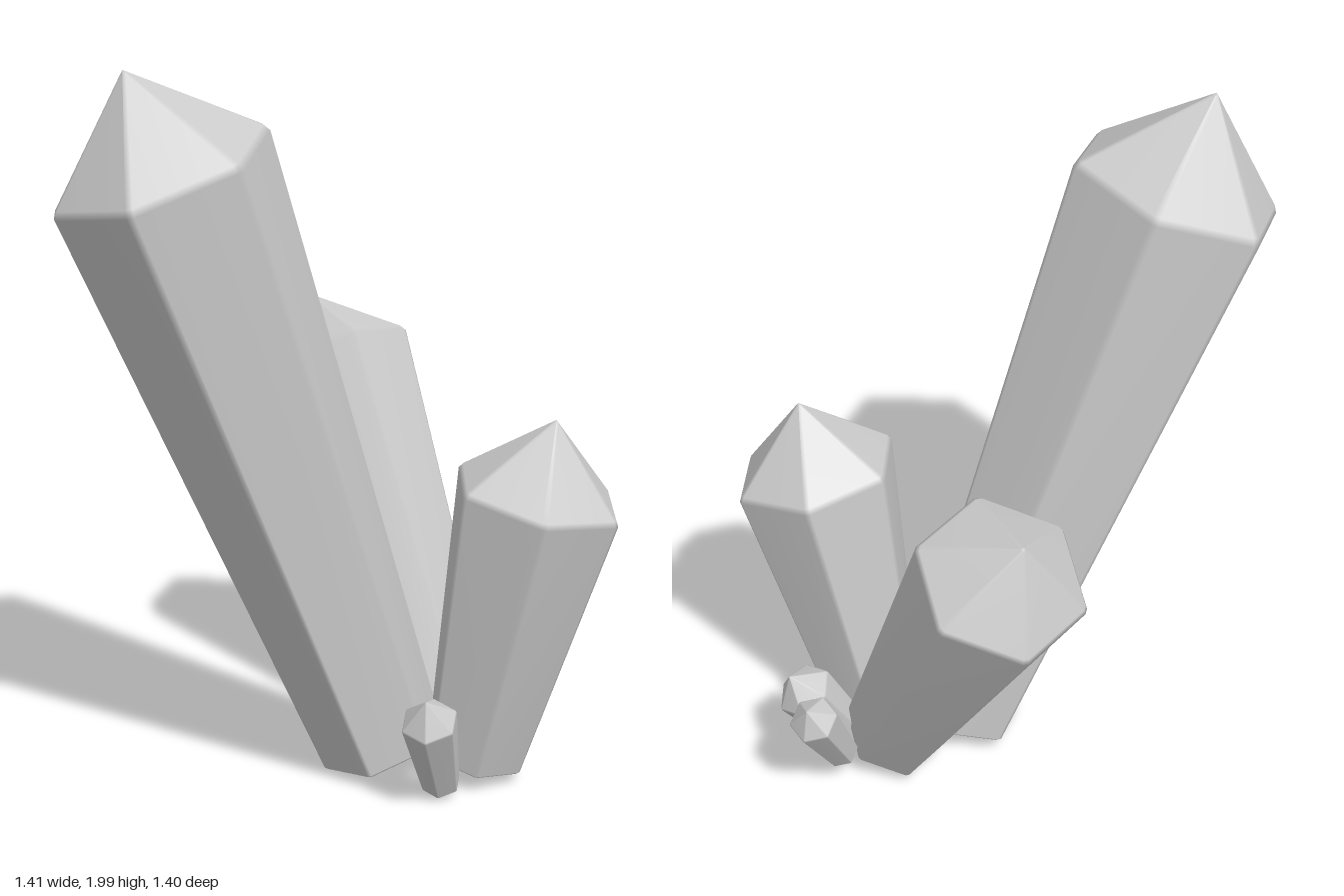
import * as THREE from 'three';

// Six-sided crystal with softened edges.
// base, shoulder: centres of the end rings; tipH: point height along the axis;
// rBase, rTop: corner radii; corner: x,z direction of one corner seen from above.
function crystal(name, material, { base, shoulder, tipH, rBase, rTop, corner }) {
  const start = new THREE.Vector3(...base);
  const axis = new THREE.Vector3(...shoulder).sub(start);
  const len = axis.length();
  axis.normalize();
  const [cx, cz] = corner;
  const u = new THREE.Vector3(cx, -(axis.x * cx + axis.z * cz) / axis.y, cz).normalize();
  const v = new THREE.Vector3().crossVectors(u, axis);

  // Hexagon with each corner cut into a narrow bevel
  const bevel = 0.04;
  const hex = i => new THREE.Vector2(Math.cos(i * Math.PI / 3), Math.sin(i * Math.PI / 3));
  const section = [];
  for (let i = 0; i < 6; i++) {
    section.push(hex(i).lerp(hex(i - 1), bevel), hex(i).lerp(hex(i + 1), bevel));
  }
  const n = section.length;

  // Rings as [distance along the axis, radius]
  const rings = [
    [0, rBase * 0.96],
    [rBase * 0.04, rBase],
    [len - rTop * 0.03, rTop],
    [len + tipH * 0.04, rTop * 0.96],
    [len + tipH * 0.97, rTop * 0.03],
  ];
  const positions = [], index = [];
  const point = (t, x, y) => {
    const p = start.clone().addScaledVector(axis, t).addScaledVector(u, x).addScaledVector(v, y);
    positions.push(p.x, p.y, p.z);
  };
  for (const [t, r] of rings) for (const s of section) point(t, s.x * r, s.y * r);
  const bottom = rings.length * n, top = bottom + 1;
  point(0, 0, 0);
  point(len + tipH, 0, 0);

  for (let j = 0; j < n; j++) {
    const k = (j + 1) % n;
    for (let i = 0; i < rings.length - 1; i++) {
      const a = i * n + j, b = i * n + k;
      index.push(a, a + n, b, b, a + n, b + n);
    }
    const last = (rings.length - 1) * n;
    index.push(bottom, j, k, top, last + k, last + j);
  }
  const geometry = new THREE.BufferGeometry();
  geometry.setAttribute('position', new THREE.Float32BufferAttribute(positions, 3));
  geometry.setIndex(index);
  geometry.computeVertexNormals();
  const mesh = new THREE.Mesh(geometry, material);
  mesh.name = name;
  return mesh;
}

export function createModel() {
  const group = new THREE.Group();
  group.name = 'crystalCluster';
  const material = new THREE.MeshStandardMaterial({ color: 0xcccccc });

  const crystals = {
    // Three main crystals
    tallCrystal: { base: [0.05, 0.08, 0.06], shoulder: [-0.45, 1.74, 0.4], tipH: 0.28, rBase: 0.18, rTop: 0.305, corner: [-0.01, -0.3] },
    backCrystal: { base: [0.19, 0.11, -0.13], shoulder: [-0.24, 1.045, -0.495], tipH: 0.19, rBase: 0.15, rTop: 0.24, corner: [0.1, -0.21] },
    sideCrystal: { base: [0.31, 0.07, 0.06], shoulder: [0.48, 0.845, 0.075], tipH: 0.217, rBase: 0.145, rTop: 0.243, corner: [0.06, 0.235] },
    // Small shoots around the foot
    frontShoot: { base: [0.25, 0.045, 0.215], shoulder: [0.243, 0.275, 0.34], tipH: 0.08, rBase: 0.055, rTop: 0.08, corner: [0.05, 1] },
    sideShoot: { base: [0.31, 0.045, -0.125], shoulder: [0.425, 0.28, -0.23], tipH: 0.08, rBase: 0.06, rTop: 0.088, corner: [0.08, 0.035] },
    backShoot: { base: [0.305, 0.11, -0.265], shoulder: [0.325, 0.355, -0.42], tipH: 0.07, rBase: 0.05, rTop: 0.07, corner: [0.15, -1] },
  };
  for (const [name, spec] of Object.entries(crystals)) group.add(crystal(name, material, spec));
  return group;
}
